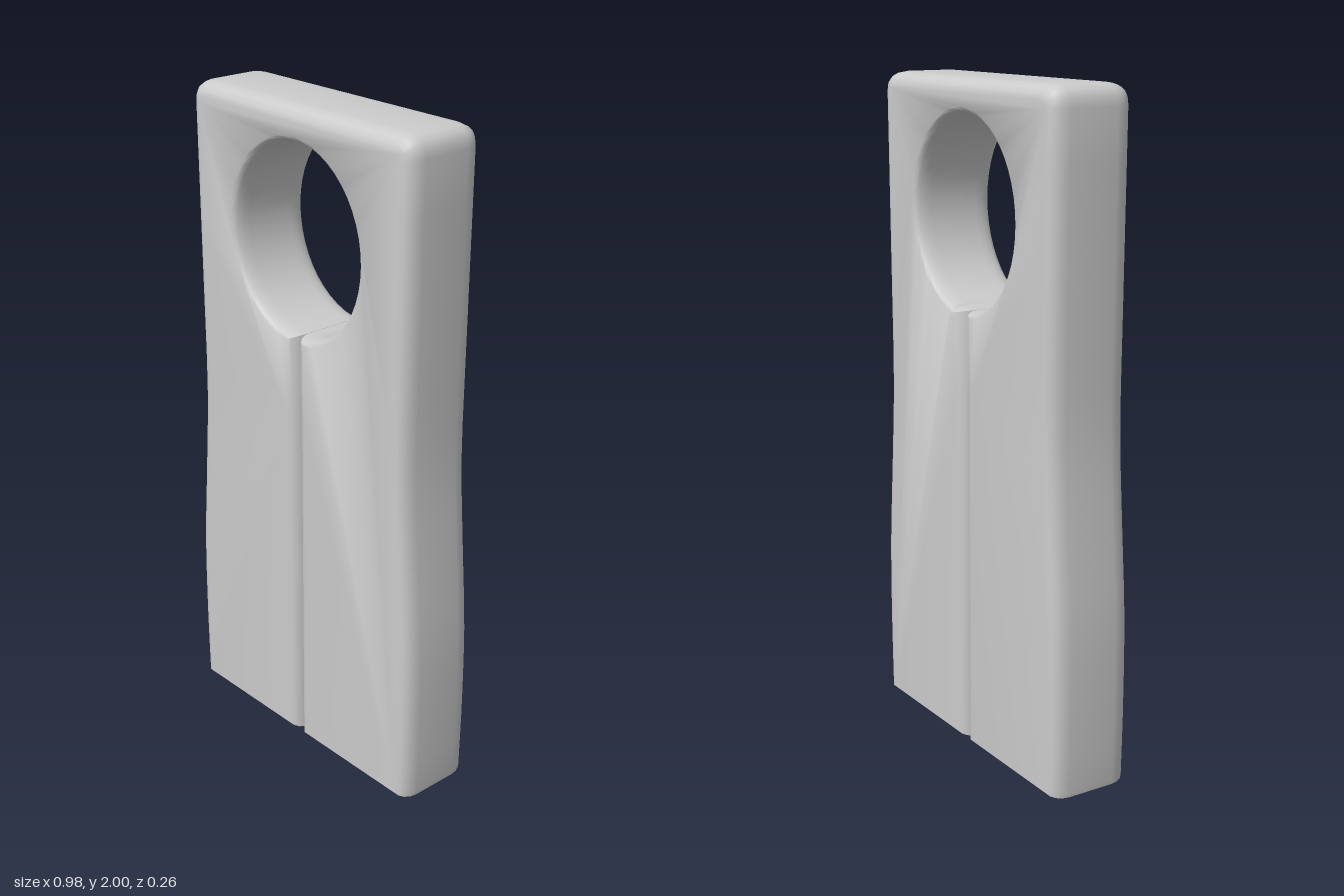
import * as THREE from 'three';
import { toCreasedNormals } from 'three/addons/utils/BufferGeometryUtils.js';

const HOLE = { y: 1.62, rx: 0.26, ry: 0.28 };
const HALF_DEPTH = 0.13, BEVEL = 0.04, BEVEL_DEPTH = 0.055, SLIT = 0.0006;

// Right-hand edge of the slab, from the foot to the top
function sidePoints() {
  const side = new THREE.SplineCurve([
    [0.481, 0], [0.487, 0.2], [0.485, 0.5], [0.465, 0.78], [0.448, 1.05], [0.45, 1.4], [0.456, 1.94],
  ].map(([x, y]) => new THREE.Vector2(x, y))).getPoints(18);
  const corner = new THREE.QuadraticBezierCurve(
    new THREE.Vector2(0.456, 1.94), new THREE.Vector2(0.456, 2), new THREE.Vector2(0.396, 2)).getPoints(4);
  return [...side, ...corner.slice(1)];
}

// One outline: outer edge, closed slit between the legs, and the round opening
function outline() {
  const right = sidePoints();
  const left = right.map((p) => new THREE.Vector2(-p.x, p.y)).reverse();
  const ring = [];
  const n = 48, gap = SLIT / HOLE.rx;
  for (let i = 0; i <= n; i++) {
    const a = -Math.PI / 2 - gap - (i / n) * (Math.PI * 2 - 2 * gap);
    ring.push(new THREE.Vector2(HOLE.rx * Math.cos(a), HOLE.y + HOLE.ry * Math.sin(a)));
  }
  return new THREE.Shape([
    new THREE.Vector2(SLIT, 0), ...right, ...left,
    new THREE.Vector2(-SLIT, 0), new THREE.Vector2(-SLIT, 1.1),
    ...ring, new THREE.Vector2(SLIT, 1.1),
  ]);
}

export function createModel() {
  const group = new THREE.Group();
  group.name = 'slottedPendant';

  let geometry = new THREE.ExtrudeGeometry(outline(), {
    depth: 2 * (HALF_DEPTH - BEVEL_DEPTH), steps: 1,
    bevelEnabled: true, bevelSize: BEVEL, bevelOffset: -BEVEL,
    bevelThickness: BEVEL_DEPTH, bevelSegments: 4,
  });
  geometry.translate(0, 0, BEVEL_DEPTH - HALF_DEPTH);

  const pos = geometry.attributes.position;
  for (let i = 0; i < pos.count; i++) {
    let x = pos.getX(i), y = pos.getY(i);
    const z = pos.getZ(i);
    const r = Math.hypot(x / HOLE.rx, (y - HOLE.y) / HOLE.ry);
    const atSlitTop = Math.abs(x) < 0.06 && y > 1.25 && y < 1.36;
    // Tighter rounding around the opening
    if (r < 1.18) {
      const k = (1 + (r - 1) * 0.45) / r;
      x *= k;
      y = HOLE.y + (y - HOLE.y) * k;
    }
    // Crisper foot
    if (y < 0.06) y *= 0.3;
    // Rear groove flares to one side where it meets the opening
    if (atSlitTop && x > 0.005 && z < 0) x *= 1.8;
    pos.setXY(i, x, y);
  }
  geometry = toCreasedNormals(geometry, 0.7);

  const slab = new THREE.Mesh(geometry, new THREE.MeshStandardMaterial({ color: 0xcccccc }));
  slab.name = 'slab';
  group.add(slab);
  return group;
}
